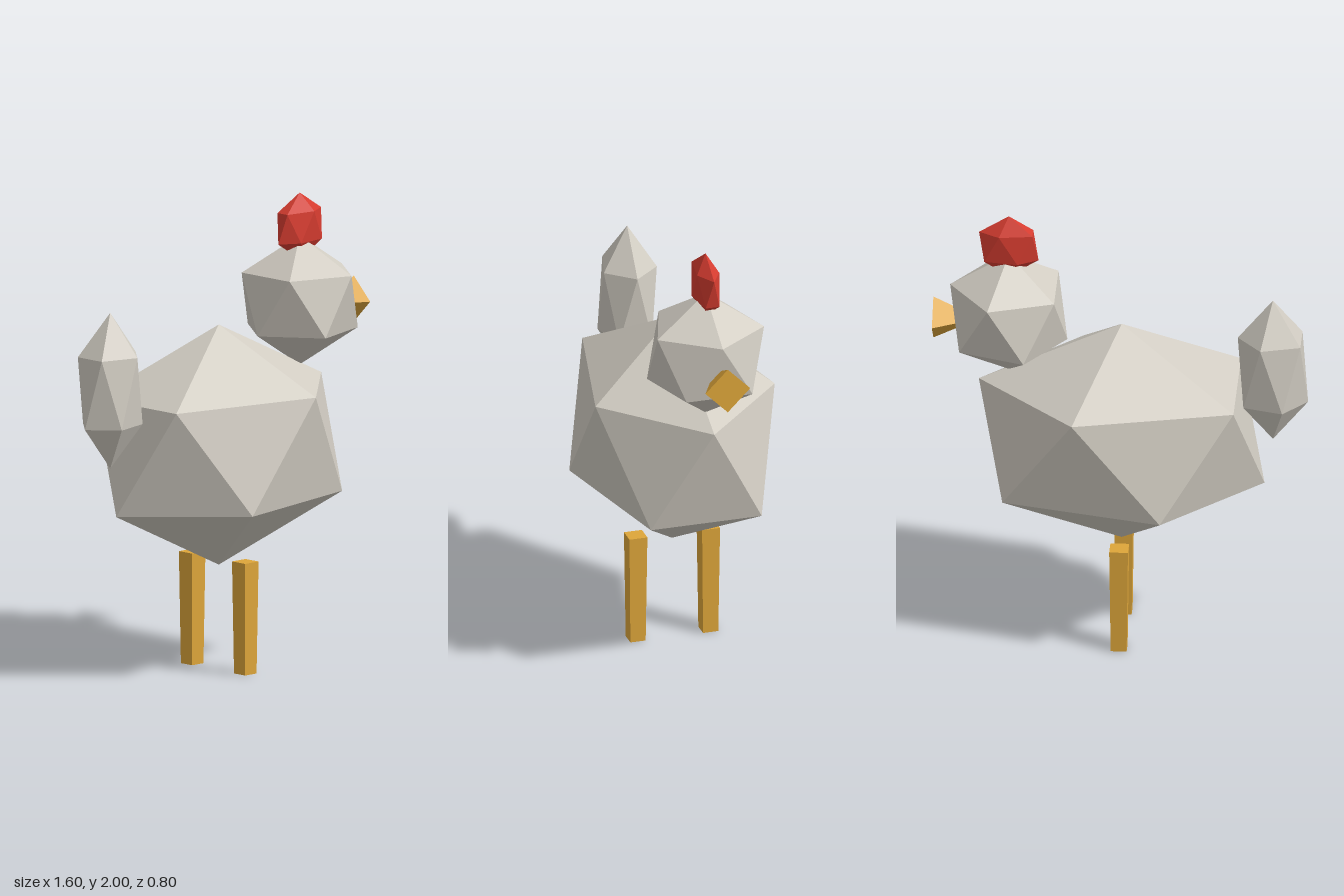
import * as THREE from 'three';

const flat = (name, color) => {
  const m = new THREE.MeshStandardMaterial({ color, flatShading: true });
  m.name = name;
  return m;
};

export function createModel() {
  const feather = flat('featherGrey', 0xd2cdc3);
  const orange = flat('beakOrange', 0xdea63a);
  const red = flat('combRed', 0xd63c30);
  const group = new THREE.Group();
  group.name = 'hen';

  const add = (name, geometry, material, x, y, z) => {
    const mesh = new THREE.Mesh(geometry, material);
    mesh.name = name;
    mesh.position.set(x, y, z);
    group.add(mesh);
  };

  // Icosahedron standing on a corner, upper ring pointing to +x, scaled per axis
  const gem = (rx, ry, rz) => {
    const g = new THREE.IcosahedronGeometry(1, 0);
    g.rotateZ(-Math.atan(2 / (1 + Math.sqrt(5))));
    g.scale(rx, ry, rz);
    g.computeVertexNormals();
    return g;
  };

  add('body', gem(0.682, 0.521, 0.47), feather, -0.004, 0.971, 0);
  add('head', gem(0.28, 0.28, 0.279), feather, 0.478, 1.534, 0);
  add('tail', gem(0.168, 0.338, 0.139), feather, -0.65, 1.292, 0);
  add('comb', gem(0.142, 0.145, 0.058), red, 0.478, 1.855, 0);

  // Four-sided beak, wide end outward
  const beak = new THREE.ConeGeometry(0.1, 0.2, 4);
  beak.rotateZ(Math.PI / 2);
  add('beak', beak, orange, 0.7, 1.496, 0);

  // Square legs, slightly tapered towards the ground
  const leg = new THREE.CylinderGeometry(0.04 * Math.SQRT2, 0.034 * Math.SQRT2, 0.486, 4);
  leg.rotateY(Math.PI / 4);
  for (const [name, side] of [['nearLeg', 1], ['farLeg', -1]]) {
    add(name, leg, orange, -0.004, 0.243, side * 0.162);
  }
  return group;
}
